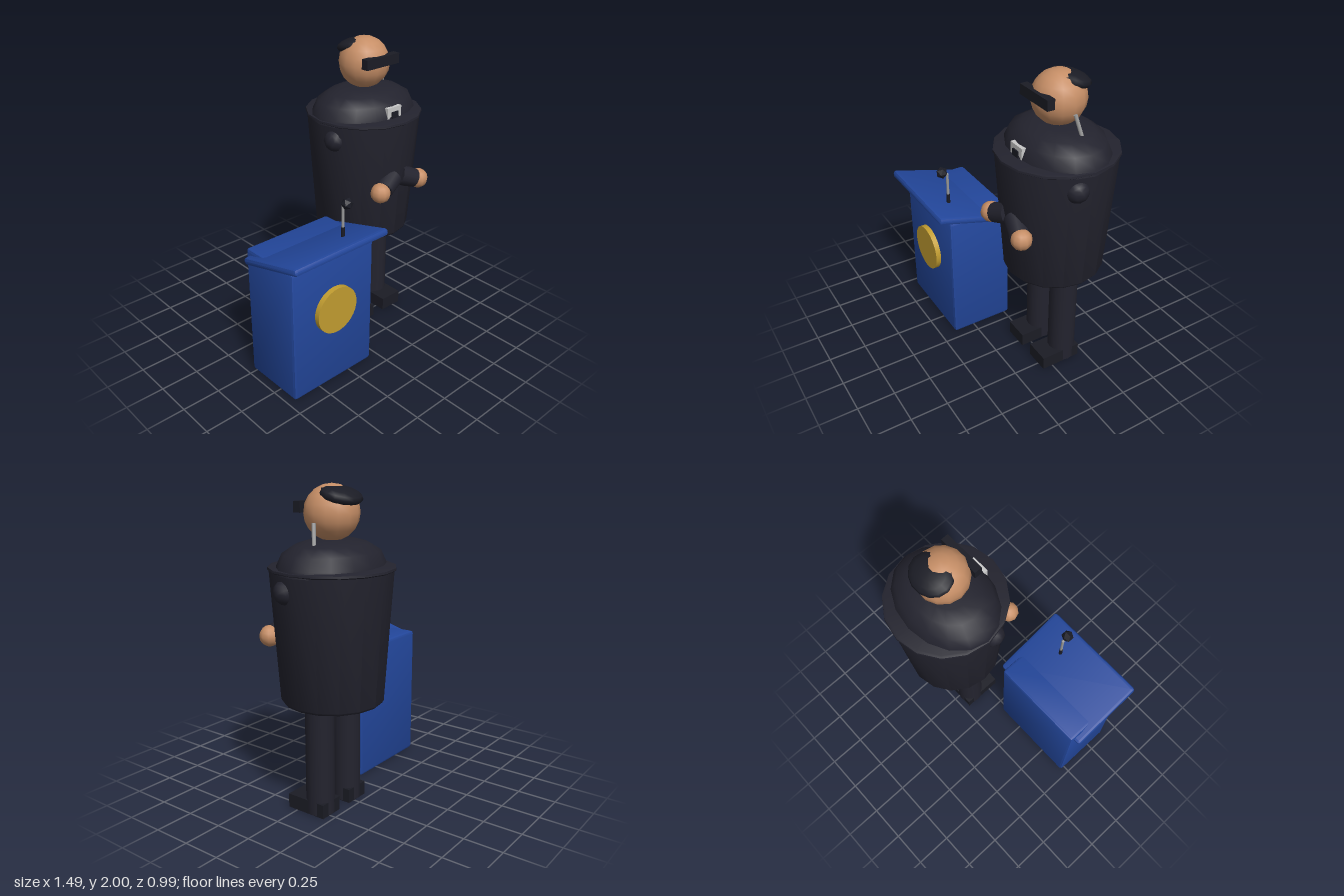
import * as THREE from 'three';
import { RoundedBoxGeometry } from 'three/addons/geometries/RoundedBoxGeometry.js';
import { toCreasedNormals } from 'three/addons/utils/BufferGeometryUtils.js';

const material = (name, color) => {
  const m = new THREE.MeshStandardMaterial({ color });
  m.name = name;
  return m;
};

export function createModel() {
  const model = new THREE.Group();
  model.name = 'speakerAndLectern';
  const suit = material('suit', 0x23232e);
  const black = material('black', 0x1b1c25);
  const skin = material('skin', 0xc68e66);
  const blue = material('lecternBlue', 0x23479c);
  const gold = material('gold', 0xc29d31);
  const grey = material('metalGrey', 0x9a9a9a);
  const white = material('badgeWhite', 0xc8c8c8);

  const add = (parent, name, geometry, mat, x = 0, y = 0, z = 0) => {
    const mesh = new THREE.Mesh(geometry, mat);
    mesh.name = name;
    mesh.position.set(x, y, z);
    parent.add(mesh);
    return mesh;
  };
  // Cylinder running from point a to point b
  const rod = (parent, name, a, b, ra, rb, mat, sides = 10) => {
    const p = new THREE.Vector3(...a), q = new THREE.Vector3(...b);
    const dir = q.clone().sub(p);
    const mesh = add(parent, name, new THREE.CylinderGeometry(rb, ra, dir.length(), sides), mat);
    mesh.position.copy(p).add(q).multiplyScalar(0.5);
    mesh.quaternion.setFromUnitVectors(new THREE.Vector3(0, 1, 0), dir.normalize());
    return mesh;
  };
  const chamferBox = (w, h, d, r) => toCreasedNormals(new RoundedBoxGeometry(w, h, d, 1, r), 0.5);

  // Lectern
  const lectern = new THREE.Group();
  lectern.name = 'lectern';
  model.add(lectern);
  add(lectern, 'lecternBody', chamferBox(0.645, 0.905, 0.435, 0.018), blue, -0.38, 0.4525, 0.183);
  add(lectern, 'slopedTop', chamferBox(0.735, 0.048, 0.512, 0.02), blue, -0.38, 0.91, 0.243).rotation.x = -0.27;
  add(lectern, 'roundSeal', new THREE.CylinderGeometry(0.155, 0.155, 0.04, 32), gold, -0.38, 0.545, 0.415).rotation.x = Math.PI / 2;
  rod(lectern, 'microphoneStem', [-0.235, 0.93, 0.318], [-0.235, 1.17, 0.318], 0.009, 0.009, grey);
  rod(lectern, 'microphoneSleeve', [-0.235, 0.92, 0.318], [-0.235, 1.02, 0.318], 0.012, 0.012, black);
  rod(lectern, 'microphoneNeck', [-0.235, 1.165, 0.314], [-0.235, 1.185, 0.35], 0.009, 0.009, grey);
  add(lectern, 'microphoneHead', new THREE.IcosahedronGeometry(0.039, 0), black, -0.235, 1.19, 0.355);

  // Standing figure, built around its own vertical axis
  const man = new THREE.Group();
  man.name = 'speaker';
  man.position.set(0.35, 0, -0.12);
  model.add(man);

  // Tapered barrel coat with a small lip
  const coat = [[0, 0.7], [0.305, 0.7], [0.317, 0.715], [0.372, 1.505], [0.382, 1.512], [0.38, 1.525], [0.365, 1.53], [0, 1.53]]
    .map(p => new THREE.Vector2(...p));
  add(man, 'coat', toCreasedNormals(new THREE.LatheGeometry(coat, 16), 0.6), suit);

  // Shoulders, flatter front to back
  const dome = [[0.38, 1.5], [0.372, 1.54], [0.335, 1.61], [0.255, 1.655], [0.16, 1.68], [0, 1.684]]
    .map(p => new THREE.Vector2(...p));
  add(man, 'shoulders', new THREE.LatheGeometry(dome, 16), suit).scale.z = 0.77;

  // Head
  add(man, 'head', new THREE.SphereGeometry(0.166, 14, 10), skin, 0, 1.835, 0);
  const hair = add(man, 'hair', new THREE.SphereGeometry(1, 14, 8), black, 0, 1.934, -0.068);
  hair.scale.set(0.142, 0.05, 0.122);
  hair.rotation.x = -0.27;
  add(man, 'darkGlasses', new THREE.BoxGeometry(0.28, 0.065, 0.05), black, 0, 1.867, 0.147);
  rod(man, 'earpieceWire', [0.165, 1.785, 0], [0.197, 1.66, -0.028], 0.012, 0.012, grey, 8);

  // Badge with a dark notch
  add(man, 'badge', new THREE.BoxGeometry(0.12, 0.075, 0.032), white, 0, 1.563, 0.265);
  add(man, 'badgeNotch', new THREE.BoxGeometry(0.056, 0.045, 0.009), black, 0, 1.549, 0.285);

  // Arms, legs and shoes
  for (const [side, s] of [['left', 1], ['right', -1]]) {
    const shoulder = add(man, side + 'UpperArm', new THREE.SphereGeometry(0.075, 10, 8), suit, s * 0.32, 1.405, 0.08);
    shoulder.rotation.x = 0.5;
    rod(man, side + 'Sleeve', [s * 0.145, 1.09, 0.345], [s * 0.035, 1.135, 0.305], 0.062, 0.072, suit, 12);
    add(man, side + 'Hand', new THREE.SphereGeometry(0.066, 10, 8), skin, s * 0.176, 1.082, 0.35);
    add(man, side + 'Leg', new THREE.CylinderGeometry(0.09, 0.09, 0.72, 16), suit, s * 0.131, 0.365, 0);
    add(man, side + 'Shoe', new THREE.BoxGeometry(0.165, 0.09, 0.275), black, s * 0.131, 0.045, 0.053);
  }
  return model;
}
